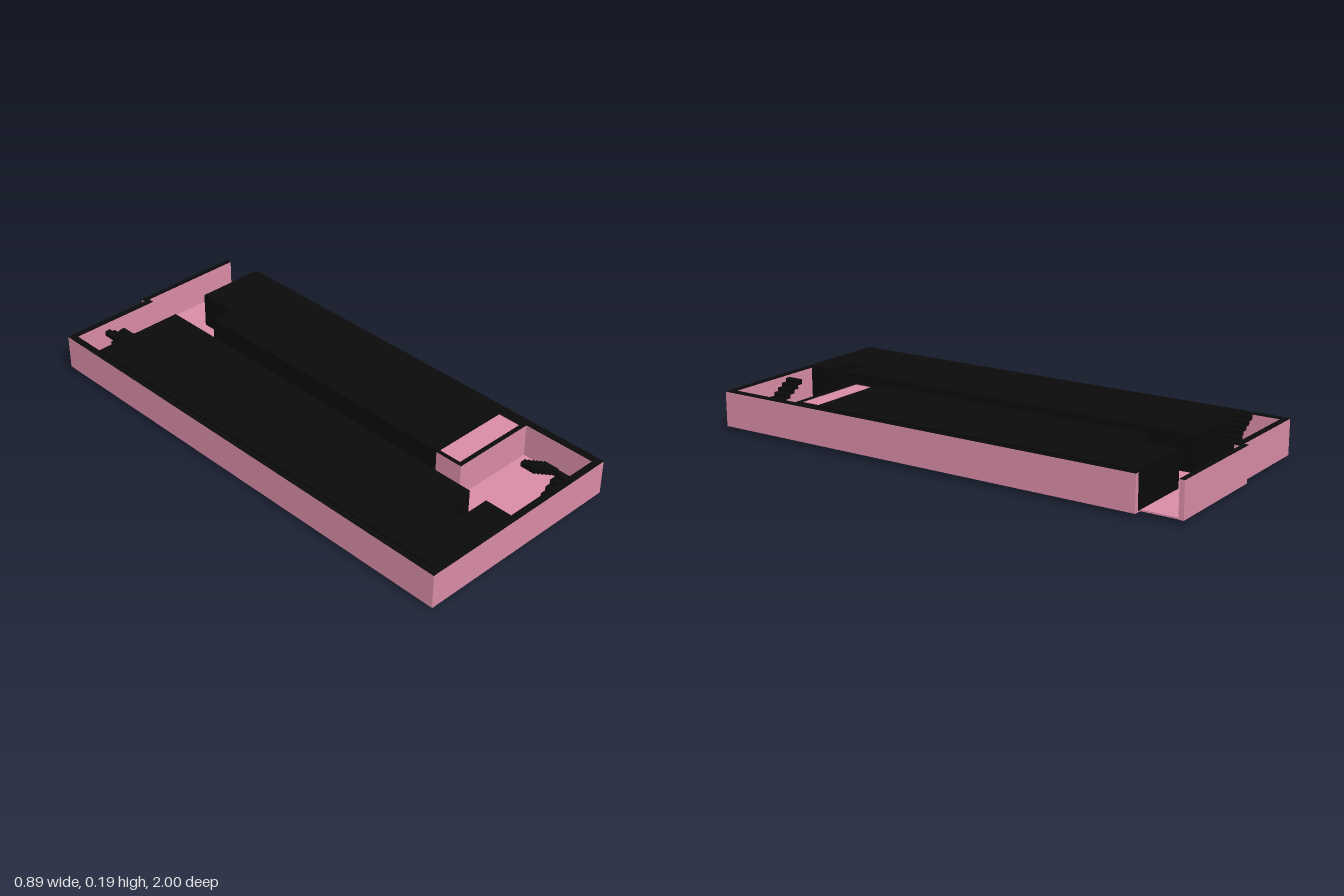
import * as THREE from 'three';

const PINK = new THREE.MeshStandardMaterial({ color: 0xd98ca6 });
const BLACK = new THREE.MeshStandardMaterial({ color: 0x0a0a0a });

const FLOOR_BOTTOM = 0.02, FLOOR_TOP = 0.026, WALL_TOP = 0.162, ROOF_TOP = 0.17;

// Upright prism over a ground plan of [x, z] corners
function prism(name, plan, y0, y1, material) {
  const shape = new THREE.Shape(plan.map(([x, z]) => new THREE.Vector2(x, -z)));
  const geo = new THREE.ExtrudeGeometry(shape, { depth: y1 - y0, bevelEnabled: false });
  geo.rotateX(-Math.PI / 2).translate(0, y0, 0);
  const mesh = new THREE.Mesh(geo, material);
  mesh.name = name;
  return mesh;
}

const rect = (x0, x1, z0, z1) => [[x0, z0], [x1, z0], [x1, z1], [x0, z1]];

// Pink wall with a thin black cut surface on top
function wall(name, plan) {
  const g = new THREE.Group();
  g.name = name;
  g.add(prism(name + 'Body', plan, FLOOR_BOTTOM, WALL_TOP - 0.002, PINK));
  g.add(prism(name + 'Trim', plan, WALL_TOP - 0.002, WALL_TOP, BLACK));
  return g;
}

// Two flights side by side, folding back at the half landing
function staircase(name, x, z) {
  const g = new THREE.Group();
  g.name = name;
  const run = 0.0233, height = 0.02, width = 0.064;
  const box = new THREE.BoxGeometry(run, height, width);
  const flights = [
    { name: 'lowerStep', y: 0, rise: 0.018, z: 0.1 },
    { name: 'upperStep', y: 0.095, rise: 0.014, z: 0.034 },
  ];
  flights.forEach((f, k) => {
    for (let i = 0; i < 6; i++) {
      const step = new THREE.Mesh(box, BLACK);
      step.name = f.name;
      const column = k === 0 ? i : 5 - i;
      step.position.set(run * (column + 0.5), f.y + f.rise * i + height / 2, f.z);
      g.add(step);
    }
  });
  g.position.set(x, 0, z);
  return g;
}

export function createModel() {
  const model = new THREE.Group();
  model.name = 'floorPlan';

  // Floor slab, following the stepped back edge
  model.add(prism('floor', [
    [-0.439, 0.999], [0.439, 0.999], [0.439, -0.835], [0.41, -0.835],
    [0.41, -0.99], [-0.045, -0.99], [-0.045, -0.97], [-0.439, -0.97],
  ], FLOOR_BOTTOM, FLOOR_TOP, PINK));

  // Outer walls
  model.add(wall('frontWall', rect(-0.443, 0.443, 0.972, 1)));
  model.add(wall('leftWall', rect(0.413, 0.443, -0.835, 0.972)));
  model.add(wall('rightWall', rect(-0.443, -0.415, -0.955, 0.972)));
  model.add(wall('backWall', [
    [-0.443, -0.955], [-0.443, -0.98], [-0.055, -0.98], [-0.055, -1],
    [0.413, -1], [0.413, -0.98], [-0.033, -0.98], [-0.033, -0.955],
  ]));

  // Closed black volumes on both sides of the corridor
  model.add(prism('rightBlock', [
    [-0.42, -0.805], [-0.035, -0.805], [-0.035, 0.79], [-0.17, 0.79],
    [-0.17, 0.865], [-0.035, 0.865], [-0.035, 0.98], [-0.42, 0.98],
  ], FLOOR_TOP, ROOF_TOP, BLACK));
  model.add(prism('leftBlock', [
    [0.145, -0.837], [0.425, -0.837], [0.425, 0.55], [0.05, 0.55],
    [0.05, -0.67], [0.145, -0.67],
  ], FLOOR_TOP, ROOF_TOP, BLACK));

  // Closet between the left block and the front stair room
  model.add(prism('closetTop', rect(0.07, 0.395, 0.545, 0.65), FLOOR_TOP, 0.157, PINK));
  model.add(wall('closetWall', [
    [0.055, 0.545], [0.07, 0.545], [0.07, 0.65], [0.395, 0.65],
    [0.395, 0.545], [0.414, 0.545], [0.414, 0.668], [0.055, 0.668],
  ]));

  // Matching staircases at the back right and front left
  model.add(staircase('backStairs', -0.334, -0.95));
  model.add(staircase('frontStairs', 0.203, 0.815));

  // Orient the back staircase so its upper flight lies nearer the middle
  const back = model.getObjectByName('backStairs');
  back.children.forEach((s) => { s.position.z = s.name === 'lowerStep' ? 0.037 : 0.103; });

  return model;
}
